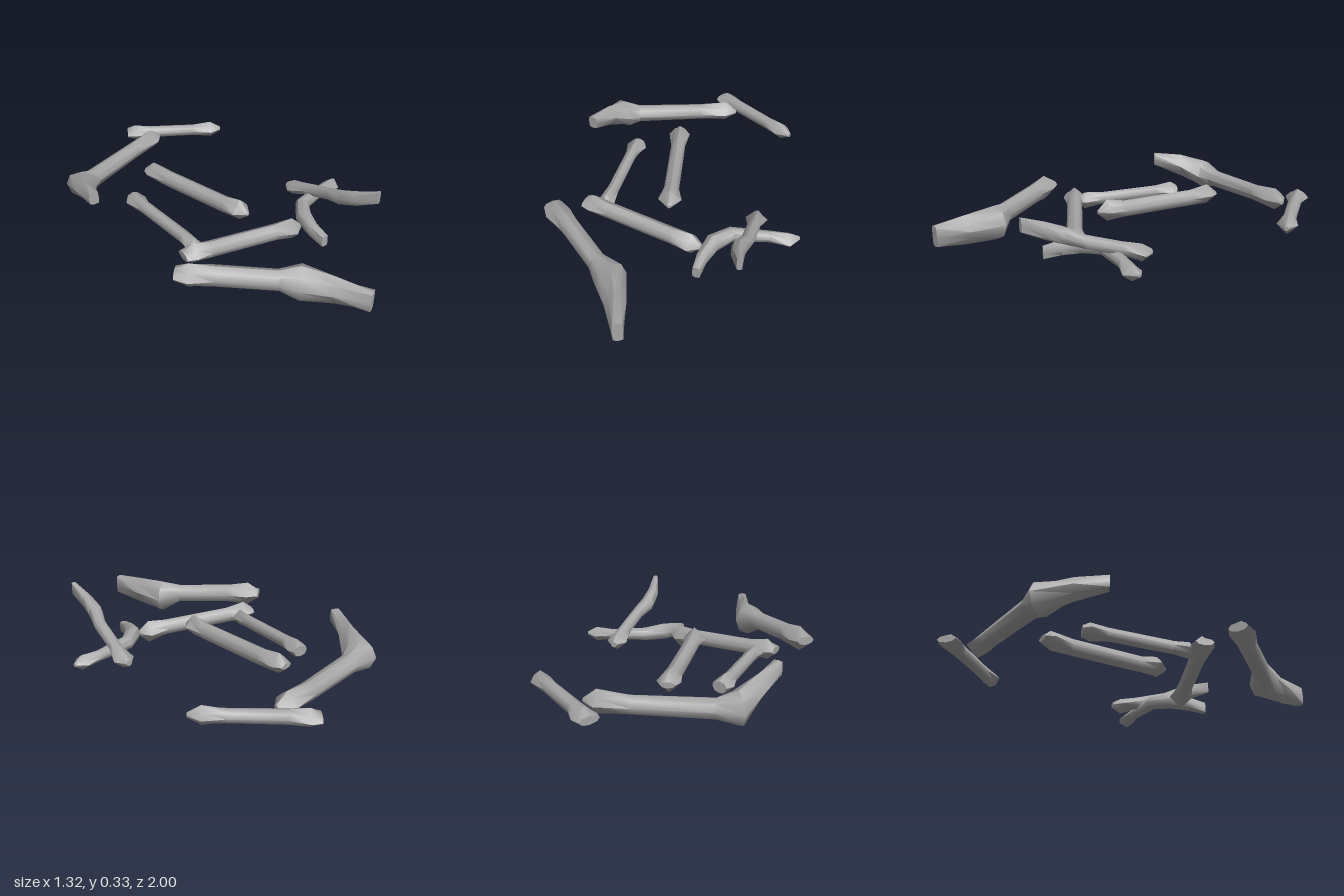
import * as THREE from 'three';
import { toCreasedNormals } from 'three/addons/utils/BufferGeometryUtils.js';

const SIDES = 8;
const DIA = 0.74; // diagonal corners pulled in: faceted knob
const BOX = 1.25; // diagonal corners pushed out: squarish blade

// Sweep of upright cross-sections; station = [x, y, z, halfWidth, halfHeight, cornerFactor]
function boneGeometry(stations) {
  const up = new THREE.Vector3(0, 1, 0);
  const centres = stations.map(s => new THREE.Vector3(s[0], s[1], s[2]));
  const last = stations.length - 1;
  const rings = stations.map((s, i) => {
    const before = centres[i].clone().sub(centres[Math.max(i - 1, 0)]).setY(0).normalize();
    const after = centres[Math.min(i + 1, last)].clone().sub(centres[i]).setY(0).normalize();
    const side = before.add(after).normalize().cross(up).normalize();
    const ring = [];
    for (let j = 0; j < SIDES; j++) {
      const a = (j / SIDES) * Math.PI * 2;
      const k = j % 2 ? (s[5] ?? 1) : 1;
      ring.push(centres[i].clone()
        .addScaledVector(side, Math.cos(a) * s[3] * k)
        .addScaledVector(up, Math.sin(a) * s[4] * k));
    }
    return ring;
  });
  const points = [];
  for (let j = 0; j < SIDES; j++) {
    const n = (j + 1) % SIDES;
    points.push(centres[0], rings[0][j], rings[0][n]);
    for (let i = 0; i < last; i++) {
      const a = rings[i][j], b = rings[i + 1][j], c = rings[i][n], d = rings[i + 1][n];
      points.push(a, b, c, b, d, c);
    }
    points.push(centres[last], rings[last][n], rings[last][j]);
  }
  return toCreasedNormals(new THREE.BufferGeometry().setFromPoints(points), 0.8);
}

const bones = {
  // long bone with a foot blade, lying across the back
  backLegBone: [
    [0.30, 0.15, -0.79, 0.012, 0.012],
    [0.235, 0.152, -0.795, 0.065, 0.06, DIA],
    [0.08, 0.145, -0.785, 0.046, 0.046],
    [-0.29, 0.14, -0.74, 0.052, 0.05],
    [-0.385, 0.145, -0.73, 0.085, 0.082],
    [-0.46, 0.20, -0.60, 0.052, 0.065, DIA],
    [-0.53, 0.24, -0.455, 0.026, 0.036, BOX],
  ],
  backShortBone: [
    [0.21, 0.145, -0.972, 0.05, 0.02],
    [0.245, 0.145, -0.94, 0.062, 0.048, DIA],
    [0.31, 0.145, -0.87, 0.036, 0.036],
    [0.50, 0.145, -0.68, 0.034, 0.034],
    [0.575, 0.145, -0.605, 0.054, 0.05, DIA],
    [0.62, 0.145, -0.562, 0.012, 0.012],
  ],
  middleLeftoverBone: [
    [-0.26, 0.115, -0.455, 0.038, 0.03],
    [-0.272, 0.115, -0.42, 0.058, 0.052, DIA],
    [-0.293, 0.115, -0.33, 0.032, 0.036],
    [-0.35, 0.105, 0.0, 0.032, 0.036],
    [-0.371, 0.10, 0.09, 0.046, 0.048, DIA],
    [-0.376, 0.10, 0.13, 0.022, 0.012],
  ],
  middleStraightBone: [
    [-0.03, 0.15, -0.56, 0.036, 0.016],
    [-0.027, 0.15, -0.515, 0.06, 0.055, DIA],
    [-0.027, 0.142, -0.40, 0.041, 0.046],
    [-0.03, 0.142, 0.01, 0.041, 0.046],
    [-0.03, 0.15, 0.11, 0.062, 0.06, DIA],
    [-0.03, 0.145, 0.165, 0.01, 0.01],
  ],
  frontDiagonalBone: [
    [-0.478, 0.11, 0.11, 0.048, 0.02],
    [-0.43, 0.108, 0.127, 0.062, 0.058, DIA],
    [-0.34, 0.10, 0.165, 0.042, 0.044],
    [0.0, 0.08, 0.312, 0.042, 0.044],
    [0.10, 0.067, 0.352, 0.062, 0.064, DIA],
    [0.15, 0.067, 0.37, 0.016, 0.014],
  ],
  // long bone with a foot blade, front left
  frontLegBone: [
    [-0.632, 0.145, 0.195, 0.05, 0.025],
    [-0.595, 0.138, 0.25, 0.066, 0.07, DIA],
    [-0.52, 0.135, 0.34, 0.05, 0.054],
    [-0.335, 0.115, 0.58, 0.05, 0.054],
    [-0.262, 0.095, 0.655, 0.082, 0.094],
    [-0.215, 0.10, 0.82, 0.052, 0.08, DIA],
    [-0.178, 0.105, 0.99, 0.026, 0.056, BOX],
  ],
  // two small bent bones, front right
  smallBentBone: [
    [0.643, 0.075, 0.272, 0.01, 0.01],
    [0.59, 0.07, 0.284, 0.052, 0.042, DIA],
    [0.49, 0.078, 0.276, 0.03, 0.03],
    [0.30, 0.088, 0.285, 0.038, 0.038],
    [0.205, 0.085, 0.36, 0.044, 0.048],
    [0.16, 0.068, 0.45, 0.033, 0.042],
    [0.135, 0.05, 0.54, 0.02, 0.032, BOX],
  ],
  smallRaisedBone: [
    [0.43, 0.08, 0.095, 0.016, 0.016],
    [0.427, 0.082, 0.145, 0.058, 0.046, DIA],
    [0.41, 0.115, 0.24, 0.034, 0.036],
    [0.375, 0.17, 0.42, 0.034, 0.036],
    [0.338, 0.205, 0.51, 0.04, 0.045],
    [0.328, 0.24, 0.60, 0.033, 0.045],
    [0.336, 0.29, 0.715, 0.014, 0.036, BOX],
  ],
};

export function createModel() {
  const boneGrey = new THREE.MeshStandardMaterial({ color: 0xa6a6a6 });
  boneGrey.name = 'boneGrey';
  const group = new THREE.Group();
  group.name = 'scatteredBones';
  for (const [name, stations] of Object.entries(bones)) {
    const mesh = new THREE.Mesh(boneGeometry(stations), boneGrey);
    mesh.name = name;
    group.add(mesh);
  }
  return group;
}
